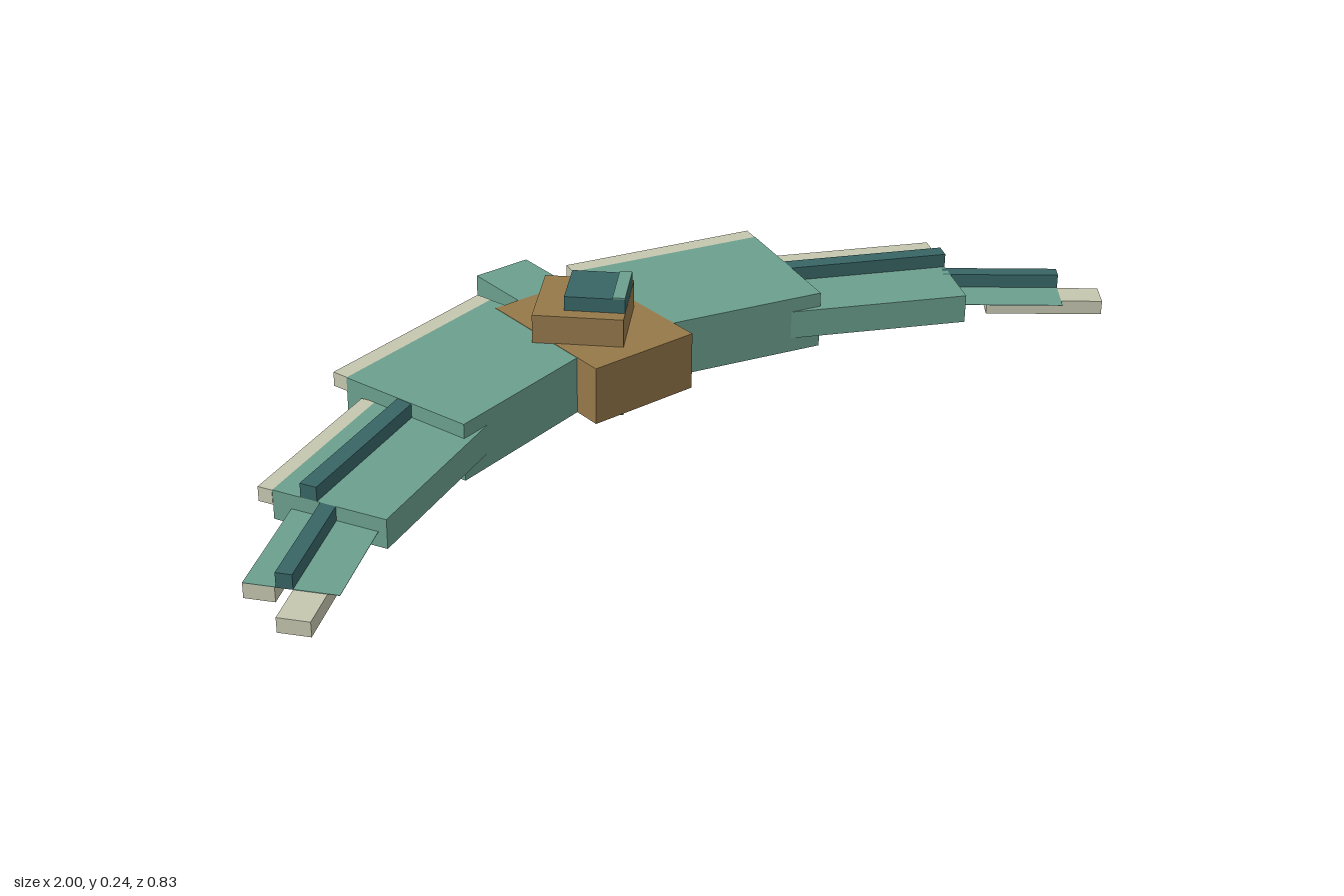
import * as THREE from 'three';

const material = (name, color) => {
  const m = new THREE.MeshStandardMaterial({ color });
  m.name = name;
  return m;
};

export function createModel() {
  const green = material('sage green', 0x6b9f8e);
  const teal = material('dark teal', 0x386565);
  const brown = material('brown', 0x95784a);
  const cream = material('cream', 0xc5c6af);

  const model = new THREE.Group();
  model.name = 'crossbowBow';

  // Box given by its extents on each axis
  function box(parent, name, mat, [x0, x1], [y0, y1], [z0, z1]) {
    const mesh = new THREE.Mesh(new THREE.BoxGeometry(x1 - x0, y1 - y0, z1 - z0), mat);
    mesh.position.set((x0 + x1) / 2, (y0 + y1) / 2, (z0 + z1) / 2);
    mesh.name = name;
    parent.add(mesh);
    return mesh;
  }

  // Square block turned by 45 degrees
  function diamond(name, mat, x, z, side, y0, y1) {
    const group = new THREE.Group();
    group.name = name;
    group.position.set(x, 0, z);
    group.rotation.y = Math.PI / 4;
    const h = side / 2;
    box(group, name + 'Block', mat, [-h, h], [y0, y1], [-h, h]);
    model.add(group);
    return group;
  }

  // Central body and rear stub
  box(model, 'centreBlock', brown, [-0.12, 0.12], [0.03, 0.151], [-0.24, 0.09]);
  box(model, 'rearStub', green, [-0.063, 0.063], [0.03, 0.15], [-0.387, -0.2]);
  box(model, 'rearCap', cream, [-0.03, 0.03], [0.06, 0.12], [-0.415, -0.38]);

  // Stacked diamond mount
  diamond('baseMount', teal, -0.023, -0.075, 0.18, 0, 0.06);
  diamond('topMount', brown, -0.023, -0.075, 0.18, 0.15, 0.21);
  const gem = diamond('gem', teal, -0.003, -0.053, 0.12, 0.18, 0.24);
  box(gem, 'gemEdge', green, [-0.06, 0.06], [0.24, 0.243], [0.035, 0.06]);

  // Arm segments: each box lies along its own swept axis [along], [height], [across]
  const segments = [
    { name: 'innerSegment', angle: 0.245, boxes: [
      ['innerLimb', green, [0.035, 0.456], [0.03, 0.15], [-0.296, 0]],
      ['innerTrim', cream, [0.034, 0.455], [0.12, 0.15], [-0.331, -0.296]],
    ] },
    { name: 'middleSegment', angle: 0.462, boxes: [
      ['middleLimb', green, [0.345, 0.753], [0.06, 0.12], [-0.318, -0.084]],
      ['middleTrim', cream, [0.394, 0.754], [0.09, 0.12], [-0.348, -0.318]],
      ['middleRidge', teal, [0.395, 0.753], [0.12, 0.149], [-0.259, -0.225]],
    ] },
    { name: 'outerSegment', angle: 0.68, boxes: [
      ['outerPlate', green, [0.67, 0.92], [0.09, 0.091], [-0.436, -0.262]],
      ['outerTrim', cream, [0.68, 0.92], [0.06, 0.09], [-0.436, -0.378]],
      ['outerRidge', teal, [0.68, 0.92], [0.09, 0.12], [-0.376, -0.345]],
      ['armTip', cream, [0.766, 1.005], [0.06, 0.09], [-0.345, -0.284]],
    ] },
  ];
  for (const side of [1, -1]) {
    const arm = new THREE.Group();
    arm.name = side > 0 ? 'leftArm' : 'rightArm';
    for (const { name, angle, boxes } of segments) {
      const segment = new THREE.Group();
      segment.name = name;
      segment.rotation.y = -side * angle;
      for (const [part, mat, along, height, across] of boxes) {
        const range = side > 0 ? along : [-along[1], -along[0]];
        box(segment, part, mat, range, height, across);
      }
      arm.add(segment);
    }
    model.add(arm);
  }
  return model;
}
